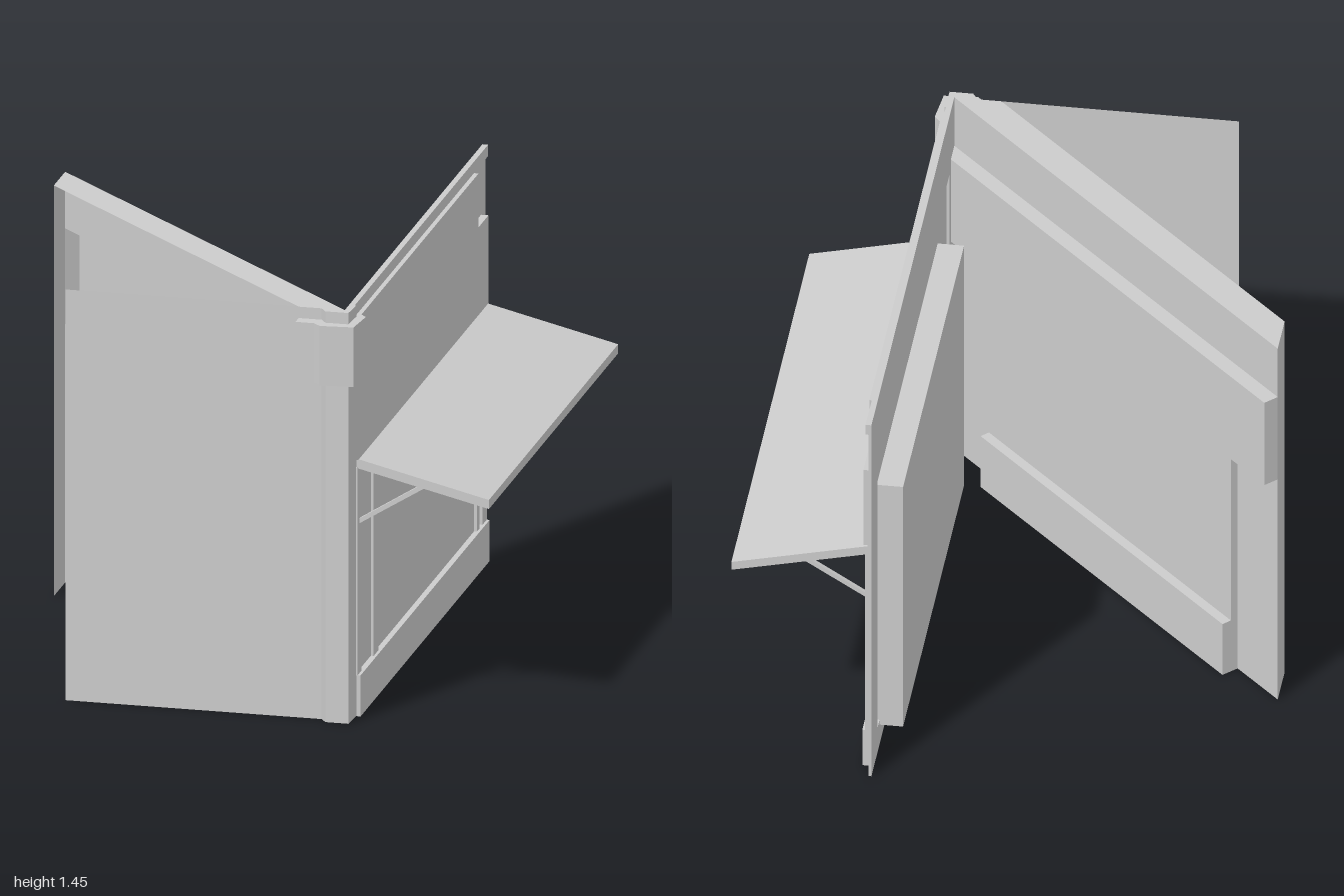
import * as THREE from 'three';

const mat = new THREE.MeshStandardMaterial({ color: 0xcccccc, side: THREE.DoubleSide, flatShading: true });
const toShape = pts => new THREE.Shape(pts.map(p => new THREE.Vector2(p[0], p[1])));

export function createModel() {
  const model = new THREE.Group();
  const add = (name, geo, parent = model) => {
    const m = new THREE.Mesh(geo, mat);
    m.name = name;
    parent.add(m);
    return m;
  };
  // Solid from a plan outline of [x, z] points
  const prism = (pts, y0, y1) => new THREE.ExtrudeGeometry(toShape(pts), { depth: y1 - y0, bevelEnabled: false })
    .rotateX(Math.PI / 2).translate(0, y1, 0);
  // Flat horizontal sheet from a plan outline
  const sheet = (pts, y) => new THREE.ShapeGeometry(toShape(pts)).rotateX(Math.PI / 2).translate(0, y, 0);
  // Upright open strip following a plan path
  const ribbon = (path, y0, y1) => {
    const v = [];
    for (let i = 0; i < path.length - 1; i++) {
      const [a, b] = path[i], [c, d] = path[i + 1];
      v.push(a, y0, b, c, y0, d, c, y1, d, a, y0, b, c, y1, d, a, y1, b);
    }
    const g = new THREE.BufferGeometry();
    g.setAttribute('position', new THREE.Float32BufferAttribute(v, 3));
    g.computeVertexNormals();
    return g;
  };
  const box = (x0, x1, y0, y1, z0, z1) => new THREE.BoxGeometry(x1 - x0, y1 - y0, z1 - z0)
    .translate((x0 + x1) / 2, (y0 + y1) / 2, (z0 + z1) / 2);

  // Side wall plate with an opening behind the panels
  const rect = (z0, z1, y0, y1) => [[-z1, y0], [-z0, y0], [-z0, y1], [-z1, y1]];
  const plate = toShape(rect(-1, 0.93, 0, 1.45));
  plate.holes.push(new THREE.Path(rect(-0.86, 0.82, 0.1, 1.21).reverse().map(p => new THREE.Vector2(...p))));
  add('sideWall', new THREE.ExtrudeGeometry(plate, { depth: 0.01, bevelEnabled: false })
    .rotateY(Math.PI / 2).translate(0.4, 0, 0));
  add('topRail', box(0.4, 0.42, 1.41, 1.45, -1, 0.95));
  add('lowerPanel', box(0.41, 0.42, 0, 0.91, -0.94, 0.88));

  // Upper panel, cut back at its rear top corner
  const panel = z => [[0.41, z], [0.436, z], [0.436, 0.88], [0.42, 0.915], [0.41, 0.915]];
  add('upperPanel', prism(panel(-0.94), 0.91, 1.22));
  add('upperPanelTop', prism(panel(-0.8), 1.22, 1.41));

  // Lower frame
  add('bottomRail', box(0.41, 0.44, 0, 0.145, -0.94, 0.87));
  for (const [z0, z1] of [[0.82, 0.875], [0.58, 0.645], [-0.835, -0.8], [-0.94, -0.88]])
    add('stile', box(0.41, 0.43, 0.145, 0.88, z0, z1));

  // Inner block on the side wall
  add('innerBlock', box(0.32, 0.415, 0.08, 1.07, -0.81, 0.61));

  // Sloping shelf and its struts
  const sideProfile = (pts, z0, z1) => new THREE.ExtrudeGeometry(toShape(pts), { depth: z1 - z0, bevelEnabled: false })
    .translate(0, 0, z0);
  add('shelf', sideProfile([[0.42, 0.877], [0.885, 0.765], [0.885, 0.797], [0.42, 0.91]], -0.945, 0.868));
  for (const z of [0.84, -0.905])
    add('shelfStrut', sideProfile([[0.42, 0.668], [0.665, 0.82], [0.645, 0.826], [0.42, 0.685]], z - 0.007, z + 0.007));

  // Corner post and bracket
  add('cornerPost', prism([[0.32, 0.93], [0.34, 0.96], [0.42, 0.96], [0.425, 0.87], [0.4, 0.87], [0.4, 0.93]], 0, 1.45));
  add('cornerBracket', prism([[0.24, 0.93], [0.24, 0.975], [0.305, 0.975], [0.33, 1], [0.445, 0.99],
    [0.457, 0.865], [0.436, 0.84], [0.41, 0.84], [0.41, 0.93]], 1.2, 1.41));

  // Thin front sheet
  add('frontSheet', ribbon([[-0.57, 0.93], [0.32, 0.93]], 0, 1.45));

  // Diagonal wall: open shell, inner face stepping out by d
  const diagonal = new THREE.Group();
  diagonal.name = 'diagonalWall';
  model.add(diagonal);
  const step = (x, d) => [x + d, x + 0.53 - d];
  const edge = [-0.89, -0.2], L = -0.73, R = 0.235;
  const start = step(-0.89, 0), end = step(0.4, 0);
  const bandStart = step(-0.89, 0.04), bandEnd = [0.4, 0.85];
  const inset = d => [step(L, 0), step(L, d), step(R, d), step(R, 0)];
  add('topFace', ribbon([edge, start, end], 1.25, 1.45), diagonal);
  add('band', ribbon([edge, start, bandStart, bandEnd], 0.91, 1.25), diagonal);
  add('recessedPanel', ribbon([edge, start, ...inset(0.02), end], 0.21, 0.91), diagonal);
  add('lowerRail', ribbon([edge, start, ...inset(0.045), end], 0, 0.21), diagonal);
  add('topCap', sheet([start, edge, [0.24, 0.93], end], 1.45), diagonal);
  add('bandTop', sheet([start, bandStart, bandEnd, end], 1.25), diagonal);
  add('bandUnderside', sheet([start, ...inset(0.02), end, bandEnd, bandStart], 0.91), diagonal);
  add('railTop', sheet([step(L, 0.02), step(L, 0.045), step(R, 0.045), step(R, 0.02)], 0.21), diagonal);
  add('railUnderside', sheet(inset(0.045), 0), diagonal);

  return model;
}
